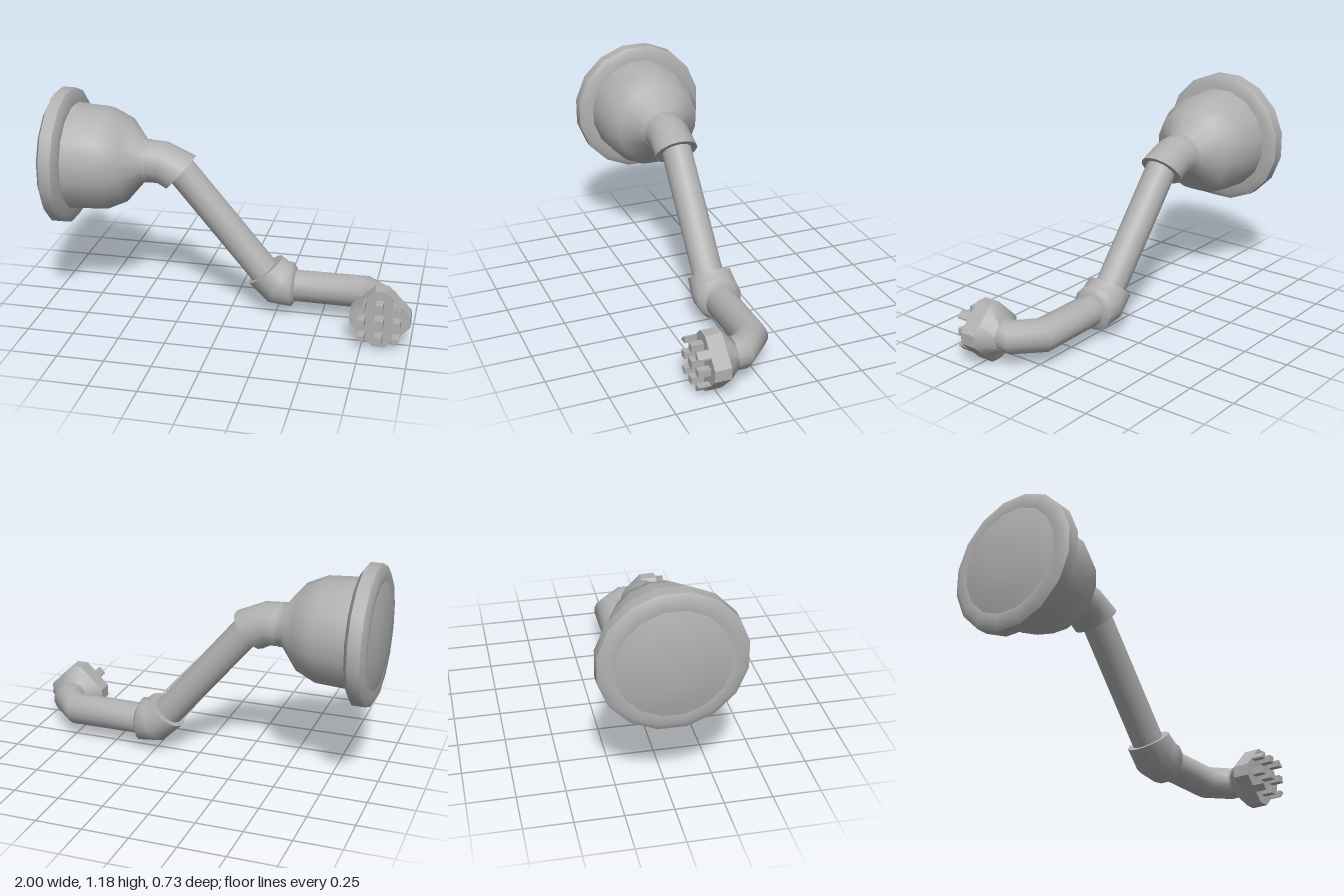
import * as THREE from 'three';
import { toCreasedNormals } from 'three/addons/utils/BufferGeometryUtils.js';

const SIDES = 16;
const AXIS_Z = -0.007;
const grey = new THREE.MeshStandardMaterial({ color: 0xb0b0b0 });
grey.name = 'grey';

// Skin of 16-sided rings [x, y, z, radius, angle in degrees], capped at both ends.
// The ring axis turns by its angle from +x, toward +y (plane 'xy') or +z (plane 'xz').
// A radius may also be a function of the direction around the ring.
function loft(rings, plane, crease) {
  const pos = [], index = [];
  const u = plane === 'xy' ? new THREE.Vector3(0, 0, 1) : new THREE.Vector3(0, 1, 0);
  rings.forEach(([x, y, z, r, deg = 0]) => {
    const a = THREE.MathUtils.degToRad(deg);
    const dir = plane === 'xy'
      ? new THREE.Vector3(Math.cos(a), Math.sin(a), 0)
      : new THREE.Vector3(Math.cos(a), 0, Math.sin(a));
    const v = dir.clone().cross(u);
    for (let j = 0; j < SIDES; j++) {
      const t = (j + 0.5) / SIDES * Math.PI * 2;
      const rad = typeof r === 'function' ? r(t) : r / Math.cos(Math.PI / SIDES);
      const p = new THREE.Vector3(x, y, z)
        .addScaledVector(u, rad * Math.cos(t)).addScaledVector(v, rad * Math.sin(t));
      pos.push(p.x, p.y, p.z);
    }
  });
  const last = (rings.length - 1) * SIDES;
  const start = rings.length * SIDES, end = start + 1;
  pos.push(...rings[0].slice(0, 3), ...rings[rings.length - 1].slice(0, 3));
  for (let j = 0; j < SIDES; j++) {
    const k = (j + 1) % SIDES;
    for (let i = 0; i < last; i += SIDES) {
      index.push(i + j, i + k, i + SIDES + k, i + j, i + SIDES + k, i + SIDES + j);
    }
    index.push(start, k, j, end, last + j, last + k);
  }
  const g = new THREE.BufferGeometry();
  g.setAttribute('position', new THREE.Float32BufferAttribute(pos, 3));
  g.setIndex(index);
  return toCreasedNormals(g, crease);
}

export function createModel() {
  const model = new THREE.Group();
  model.name = 'jointedArm';
  const add = (name, geometry) => {
    const mesh = new THREE.Mesh(geometry, grey);
    mesh.name = name;
    model.add(mesh);
    return mesh;
  };

  // Round base: shallow domed back, rounded rim, bell-shaped body
  const turned = (profile) => profile.map(([x, r]) => [x, 0.815, AXIS_Z, r]);
  add('domedBack', loft(turned([[-1, 0.1], [-0.988, 0.2], [-0.965, 0.29], [-0.93, 0.3]]), 'xy', 0.6));
  add('rim', loft(turned([
    [-0.968, 0.285], [-0.972, 0.325], [-0.95, 0.362], [-0.885, 0.362], [-0.863, 0.33], [-0.863, 0.26],
  ]), 'xy', 0.7));
  add('bellBody', loft(turned([
    [-0.9, 0.288], [-0.863, 0.286], [-0.68, 0.275], [-0.57, 0.226], [-0.48, 0.118], [-0.45, 0.116],
  ]), 'xy', 0.95));

  // Bent shoulder, slanted arm and bent elbow
  add('shoulder', loft([
    [-0.49, 0.816, AXIS_Z, 0.116], [-0.38, 0.812, AXIS_Z, 0.114, -10], [-0.28, 0.765, AXIS_Z, 0.118, -41],
  ], 'xy', 0.9));
  add('upperArm', loft([
    [-0.29, 0.788, AXIS_Z, 0.082, -50], [0.25, 0.146, AXIS_Z, 0.082, -50],
  ], 'xy', 0.9));
  add('elbow', loft([
    [0.185, 0.238, -0.01, 0.115, -50], [0.258, 0.172, -0.01, 0.123, -25],
    [0.335, 0.163, -0.01, 0.118], [0.355, 0.161, -0.008, 0.087],
  ], 'xy', 1.05));

  // Lower arm turning forward into the wrist
  add('lowerArm', loft([
    [0.25, 0.16, AXIS_Z, 0.084, 0], [0.73, 0.16, AXIS_Z, 0.087, 20],
    [0.838, 0.16, 0.097, 0.086, 70], [0.84, 0.16, 0.15, 0.084, 90],
  ], 'xz', 0.9));

  // Octagonal head with a flared collar
  const octagon = (t) => {
    const c = Math.abs(Math.cos(t)), s = Math.abs(Math.sin(t));
    return Math.min(0.157 / Math.max(c, s), 0.189 / (c + s));
  };
  const cx = 0.842, cy = 0.158;
  add('collar', loft([[cx, cy, 0.14, 0.084, 90], [cx, cy, 0.212, octagon, 90]], 'xz', 0.9));
  add('head', loft([[cx, cy, 0.212, octagon, 90], [cx, cy, 0.3, octagon, 90]], 'xz', 0.5));

  // Nine prongs: a cross of square ones, and corner ones trimmed to the head's edge
  const prong = (name, points, x, y, turn = 0) => {
    const shape = new THREE.Shape(points.map(([px, py]) => new THREE.Vector2(px, py)));
    const mesh = add(name, new THREE.ExtrudeGeometry(shape, { depth: 0.075, bevelEnabled: false }));
    mesh.position.set(cx + x, cy + y, 0.29);
    mesh.rotation.z = turn;
  };
  const square = (h) => [[-h, -h], [h, -h], [h, h], [-h, h]];
  const trimmed = [[0.072, 0.072], [0.108, 0.072], [0.108, 0.081], [0.081, 0.108], [0.072, 0.108]];
  prong('centreProng', square(0.023), 0, 0);
  for (let i = 0; i < 4; i++) {
    const a = i * Math.PI / 2;
    prong('sideProng', square(0.019), 0.091 * Math.cos(a), 0.091 * Math.sin(a));
    prong('cornerProng', trimmed, 0, 0, a);
  }
  return model;
}
